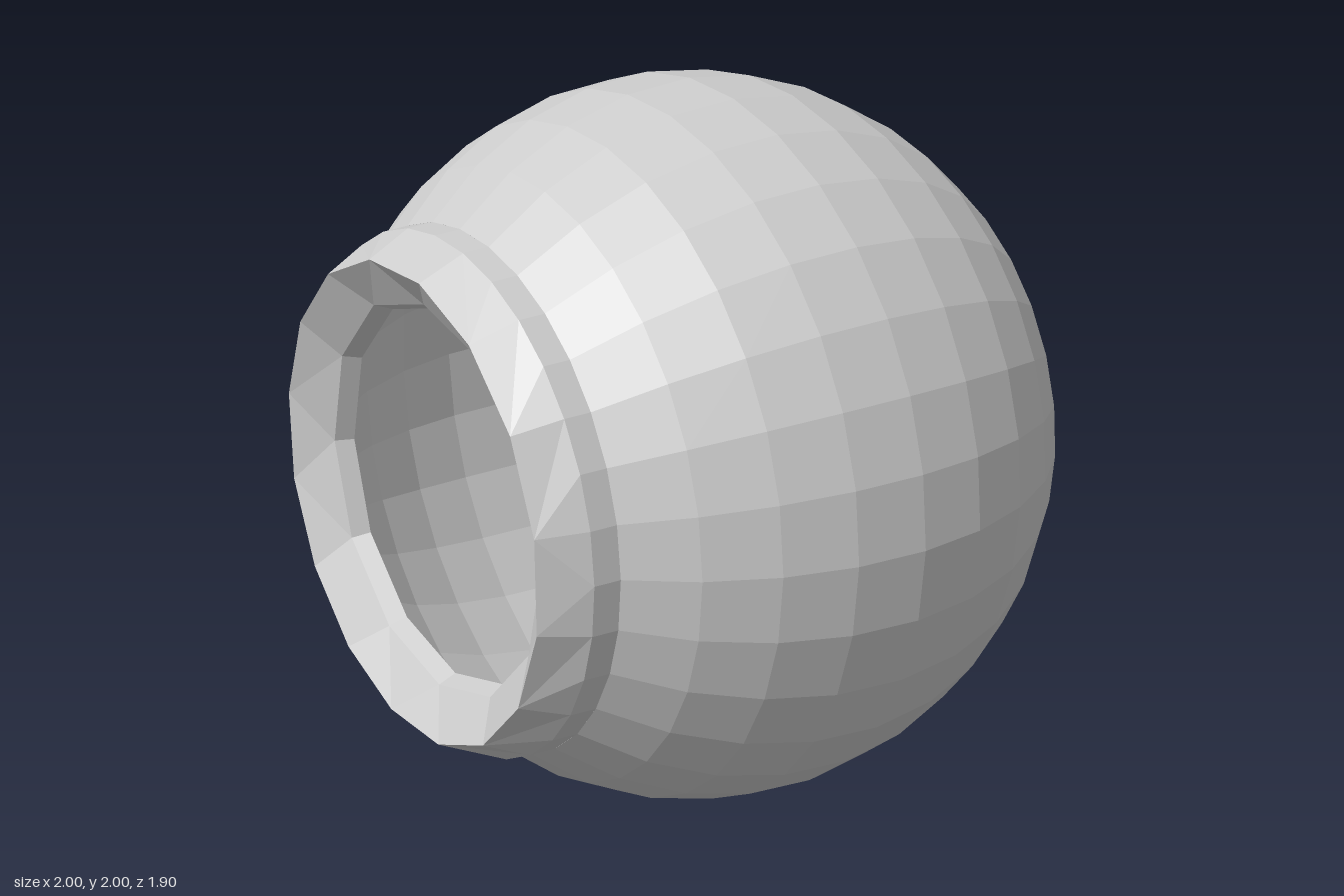
import * as THREE from 'three';

const CENTRE_Z = 0.05;

// Point i of a ring around the z axis: radius r, depth z, n points, phase in steps
function ringPoint({ r, z, n, phase = 0 }, i) {
  const a = ((i % n) + phase) / n * Math.PI * 2;
  return [r * Math.cos(a), r * Math.sin(a), z];
}

// Faceted skin through a list of rings, which may differ in point count
function skin(rings) {
  const pos = [];
  for (let k = 0; k < rings.length - 1; k++) {
    const A = rings[k], B = rings[k + 1];
    let i = 0, j = 0;
    while (i < A.n || j < B.n) {
      const nextA = (i + 1 + (A.phase || 0)) / A.n;
      const nextB = (j + 1 + (B.phase || 0)) / B.n;
      const a = ringPoint(A, i), b = ringPoint(B, j);
      if (j >= B.n || (i < A.n && nextA <= nextB)) {
        if (A.n > 1) pos.push(...a, ...ringPoint(A, i + 1), ...b);
        i++;
      } else {
        if (B.n > 1) pos.push(...a, ...ringPoint(B, j + 1), ...b);
        j++;
      }
    }
  }
  const g = new THREE.BufferGeometry();
  g.setAttribute('position', new THREE.Float32BufferAttribute(pos, 3));
  g.computeVertexNormals();
  return g;
}

export function createModel() {
  const model = new THREE.Group();
  model.name = 'roundPot';
  const grey = new THREE.MeshStandardMaterial({
    color: 0xcccccc, flatShading: true, side: THREE.DoubleSide,
  });
  grey.name = 'grey';

  const add = (name, rings) => {
    const mesh = new THREE.Mesh(skin(rings), grey);
    mesh.name = name;
    mesh.position.y = 1;
    model.add(mesh);
  };

  // Hollow ball, coarser at the back and open at the front
  const counts = [1, 11, 16];
  const ball = [];
  for (let k = 0; k <= 12; k++) {
    const t = k / 16 * Math.PI;
    ball.push({
      r: Math.sin(t), z: CENTRE_Z - Math.cos(t), n: counts[k] ?? 32,
      phase: k === 1 ? 0.25 : 0,
    });
  }
  add('ball', ball);

  // Collar: short band and chamfer up to the rim
  add('collar', [
    { r: 0.707, z: 0.757, n: 32 },
    { r: 0.703, z: 0.83, n: 32 },
    { r: 0.643, z: 0.95, n: 16, phase: 0.5 },
  ]);

  // Funnel and lip leading into the hollow
  add('mouth', [
    { r: 0.643, z: 0.95, n: 16, phase: 0.5 },
    { r: 0.53, z: 0.87, n: 12 },
    { r: 0.51, z: 0.82, n: 12 },
    { r: 0.707, z: 0.757, n: 32 },
  ]);

  return model;
}
